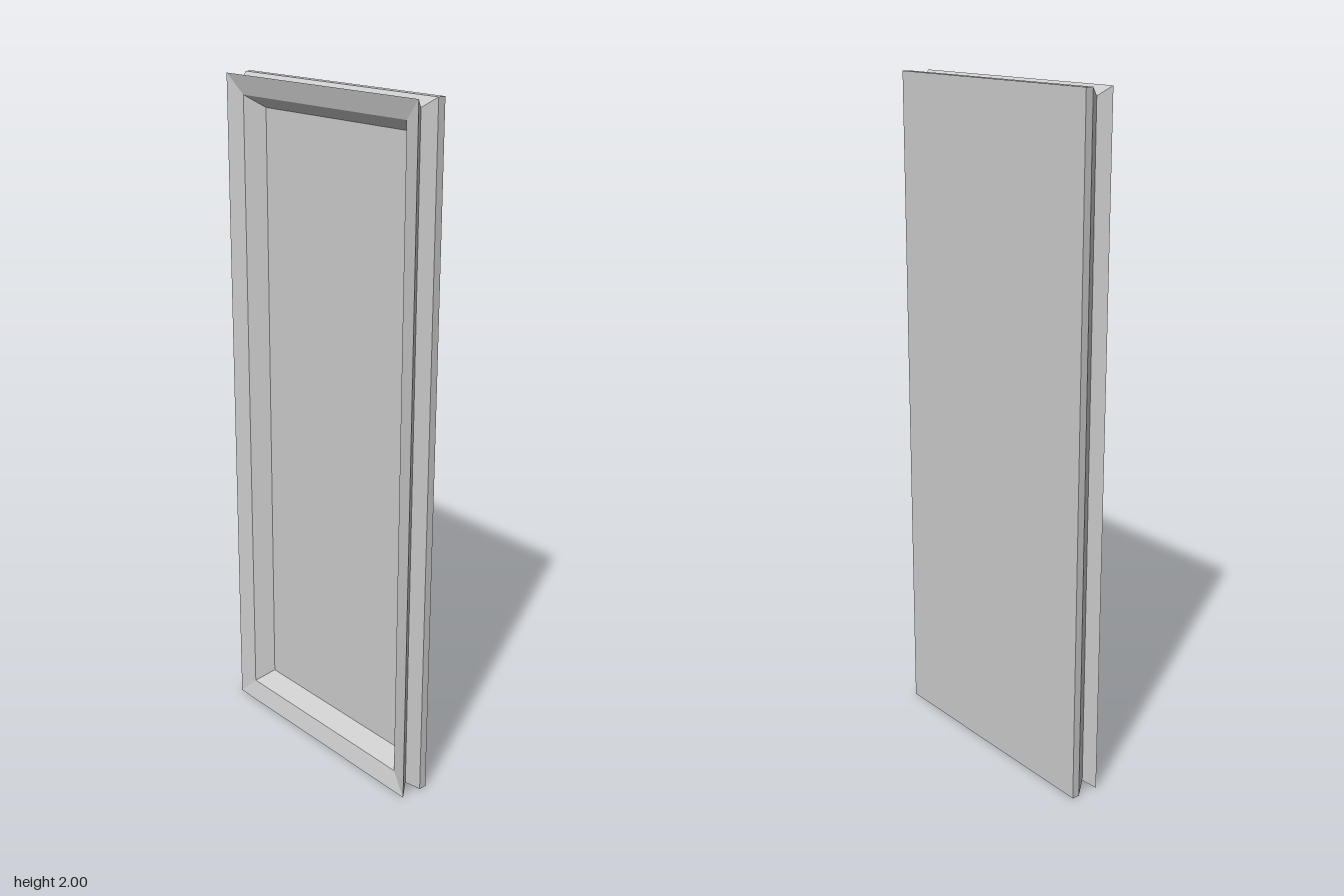
import * as THREE from 'three';

const WIDTH = 0.786, HEIGHT = 2, BACK = -0.045, PANEL = -0.022;

// Corners of a rectangle inset from the outline, anticlockwise from the front
function ring([inset, z]) {
  const x = WIDTH / 2 - inset, y0 = inset, y1 = HEIGHT - inset;
  return [[-x, y0, z], [x, y0, z], [x, y1, z], [-x, y1, z]];
}

// Mitred moulding: sweeps an [inset, z] profile around the rectangle
function moulding(profile) {
  const pos = [];
  for (let i = 0; i < profile.length - 1; i++) {
    const a = ring(profile[i]), b = ring(profile[i + 1]);
    for (let k = 0; k < 4; k++) {
      const n = (k + 1) % 4;
      pos.push(...a[k], ...a[n], ...b[n], ...a[k], ...b[n], ...b[k]);
    }
  }
  const geometry = new THREE.BufferGeometry();
  geometry.setAttribute('position', new THREE.Float32BufferAttribute(pos, 3));
  geometry.computeVertexNormals();
  return geometry;
}

export function createModel() {
  const group = new THREE.Group();
  group.name = 'framedPanel';
  const material = new THREE.MeshStandardMaterial({ color: 0xcccccc, flatShading: true });

  // Flat slab whose front face shows inside the frame
  const panel = new THREE.Mesh(new THREE.BoxGeometry(WIDTH, HEIGHT, PANEL - BACK), material);
  panel.name = 'backPanel';
  panel.position.set(0, HEIGHT / 2, (BACK + PANEL) / 2);
  group.add(panel);

  // Frame: V groove around the edge, sloped front border, steep inner bevel
  const frame = new THREE.Mesh(moulding([
    [0, PANEL], [0.025, 0.013], [0, 0.045], [0.057, 0.03], [0.093, PANEL],
  ]), material);
  frame.name = 'frame';
  group.add(frame);

  return group;
}
